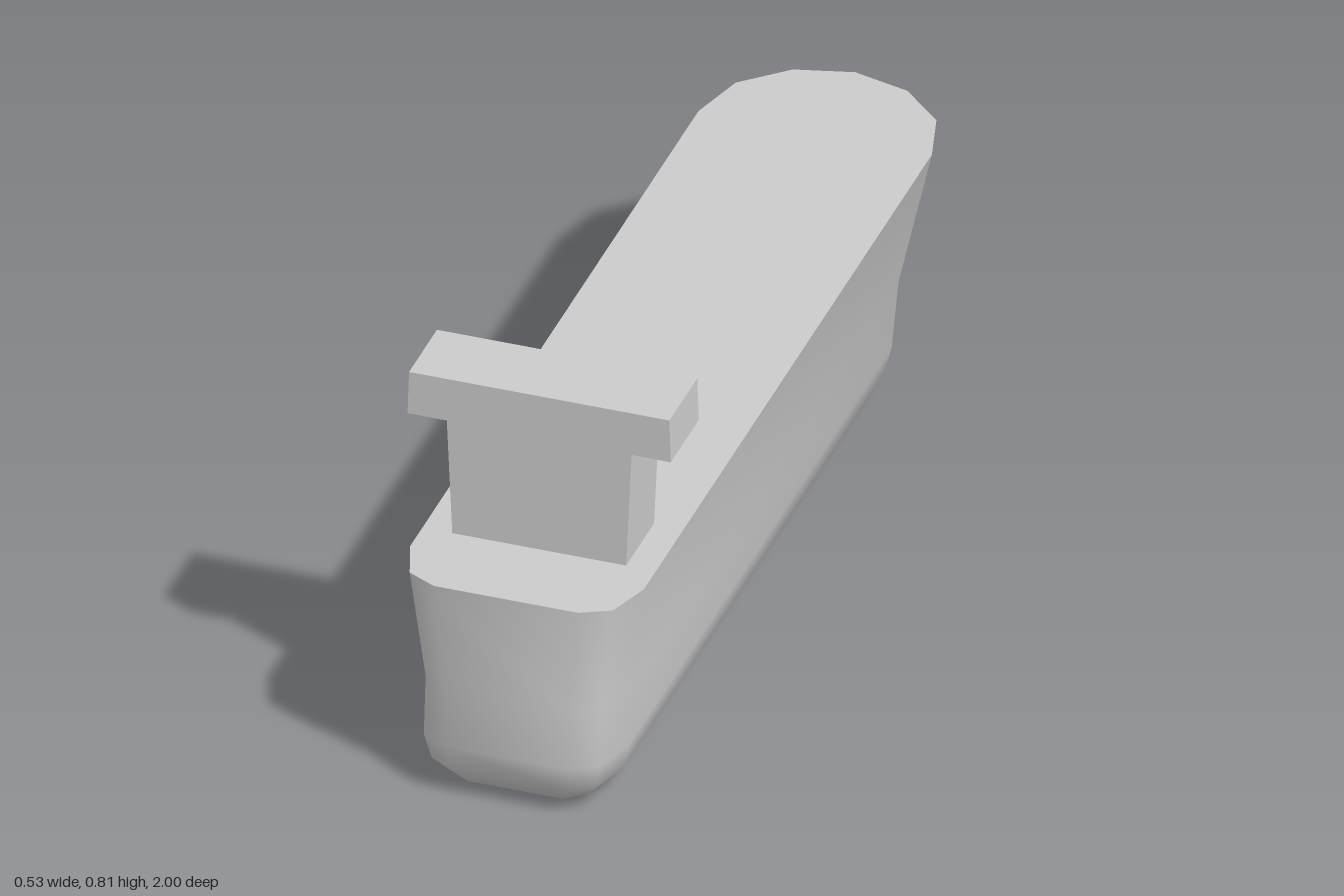
import * as THREE from 'three';
import { toCreasedNormals } from 'three/addons/utils/BufferGeometryUtils.js';

const material = new THREE.MeshStandardMaterial({ color: 0xcccccc });

// Waterlines from keel to deck: height, half width, stem z, bow shoulder z,
// stern z, and bow fullness (0 = sharp wedge, 1 = round)
const waterlines = [
  [0.0, 0.105, -0.78, -0.6, 0.89, 0],
  [0.016, 0.153, -0.855, -0.6, 0.95, 0],
  [0.057, 0.19, -0.875, -0.62, 0.985, 0],
  [0.115, 0.203, -0.865, -0.63, 0.998, 0],
  [0.24, 0.203, -0.89, -0.67, 0.988, 0.25],
  [0.472, 0.235, -1.0, -0.77, 1.0, 1],
];

// One closed outline: stem, starboard and port sides mirrored
function outline([y, w, stem, shoulder, stern, full]) {
  const mix = THREE.MathUtils.lerp;
  const run = shoulder - stem;
  const side = [
    [w * mix(0.32, 0.49, full), stem + run * mix(0.26, 0.13, full)],
    [w * mix(0.72, 0.86, full), stem + run * mix(0.62, 0.48, full)],
    [w, shoulder],
    [w, stern - 0.12],
    [w * 0.87, stern - 0.03],
    [w * 0.62, stern],
  ];
  const mirrored = side.map(([x, z]) => [-x, z]).reverse();
  return [[0, stem], ...side, ...mirrored].map(([x, z]) => [x, y, z]);
}

function createHull() {
  const rings = waterlines.map(outline);
  const n = rings[0].length;
  const index = [];
  // Shell between neighbouring waterlines
  for (let l = 0; l < rings.length - 1; l++) {
    for (let i = 0; i < n; i++) {
      const j = (i + 1) % n;
      const a = l * n + i, b = l * n + j, c = b + n, d = a + n;
      index.push(a, d, c, a, c, b);
    }
  }
  // Flat bottom and deck
  const top = (rings.length - 1) * n;
  for (let i = 1; i < n - 1; i++) {
    index.push(0, i, i + 1);
    index.push(top, top + i + 1, top + i);
  }
  const geometry = new THREE.BufferGeometry();
  geometry.setAttribute('position', new THREE.Float32BufferAttribute(rings.flat(2), 3));
  geometry.setIndex(index);
  const hull = new THREE.Mesh(toCreasedNormals(geometry, 1.1), material);
  hull.name = 'hull';
  return hull;
}

// Bridge tower with overhanging wings, one extruded T profile
function createBridge() {
  const half = [[0.175, 0.472], [0.186, 0.722], [0.265, 0.722], [0.262, 0.815]];
  const profile = [...half, ...half.map(([x, y]) => [-x, y]).reverse()];
  const shape = new THREE.Shape(profile.map(([x, y]) => new THREE.Vector2(x, y)));
  const geometry = new THREE.ExtrudeGeometry(shape, { depth: 0.16, bevelEnabled: false });
  geometry.translate(0, 0, 0.65);
  const bridge = new THREE.Mesh(geometry, material);
  bridge.name = 'bridge';
  return bridge;
}

export function createModel() {
  const ship = new THREE.Group();
  ship.name = 'ship';
  ship.add(createHull(), createBridge());
  return ship;
}
